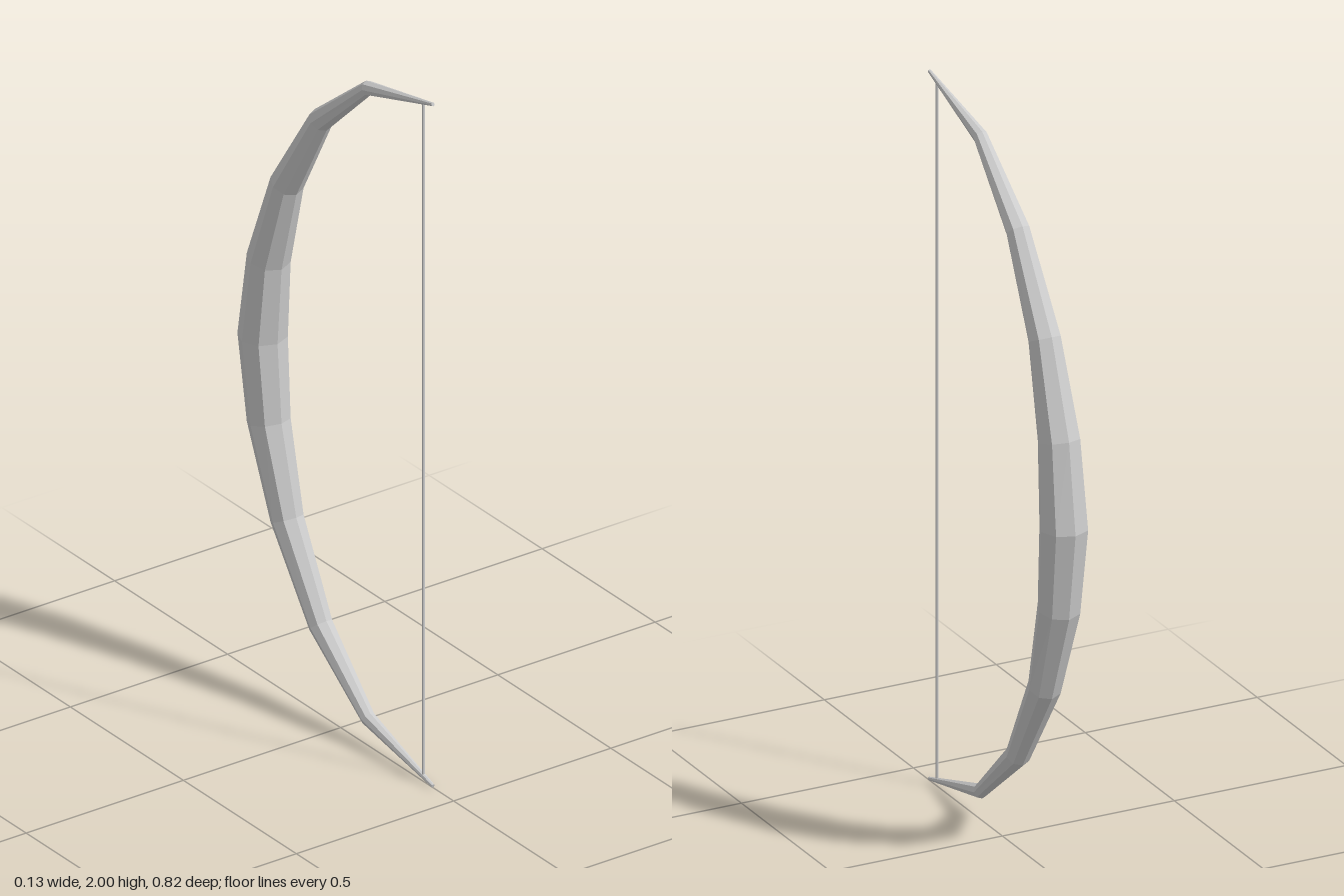
import * as THREE from 'three';

const grey = new THREE.MeshStandardMaterial({ color: 0xcccccc, flatShading: true });
const SIDES = 8;

// Upper half of the limb: height above the grip, z, radius
const half = [
  [0, -0.345, 0.066],
  [0.237, -0.318, 0.058],
  [0.49, -0.237, 0.045],
  [0.737, -0.088, 0.033],
  [0.92, 0.122, 0.02],
  [0.995, 0.409, 0.005],
];

// Tapered octagonal stave swept through the mirrored stations, with capped tips
function staveGeometry() {
  const lower = half.slice(1).reverse().map(([y, z, r]) => [-y, z, r]);
  const stations = [...lower, ...half];
  const last = stations.length - 1;
  const positions = [];
  const index = [];

  stations.forEach(([y, z, r], i) => {
    const a = stations[Math.max(i - 1, 0)];
    const b = stations[Math.min(i + 1, last)];
    const tilt = Math.atan2(b[1] - a[1], b[0] - a[0]);
    for (let k = 0; k < SIDES; k++) {
      const angle = (k / SIDES) * Math.PI * 2;
      const out = Math.cos(angle) * r;
      positions.push(Math.sin(angle) * r, 1 + y - out * Math.sin(tilt), z + out * Math.cos(tilt));
    }
  });

  for (let i = 0; i < last; i++) {
    for (let k = 0; k < SIDES; k++) {
      const a = i * SIDES + k;
      const b = i * SIDES + ((k + 1) % SIDES);
      index.push(a, b, b + SIDES, a, b + SIDES, a + SIDES);
    }
  }
  const top = last * SIDES;
  for (let k = 1; k < SIDES - 1; k++) {
    index.push(0, k + 1, k, top, top + k, top + k + 1);
  }

  const geometry = new THREE.BufferGeometry();
  geometry.setAttribute('position', new THREE.Float32BufferAttribute(positions, 3));
  geometry.setIndex(index);
  geometry.computeVertexNormals();
  return geometry;
}

export function createModel() {
  const bow = new THREE.Group();
  bow.name = 'bow';

  const stave = new THREE.Mesh(staveGeometry(), grey);
  stave.name = 'stave';
  bow.add(stave);

  // String stretched between the two tips
  const string = new THREE.Mesh(new THREE.CylinderGeometry(0.004, 0.004, 1.968, SIDES), grey);
  string.name = 'bowString';
  string.position.set(0, 1, 0.366);
  bow.add(string);

  return bow;
}
